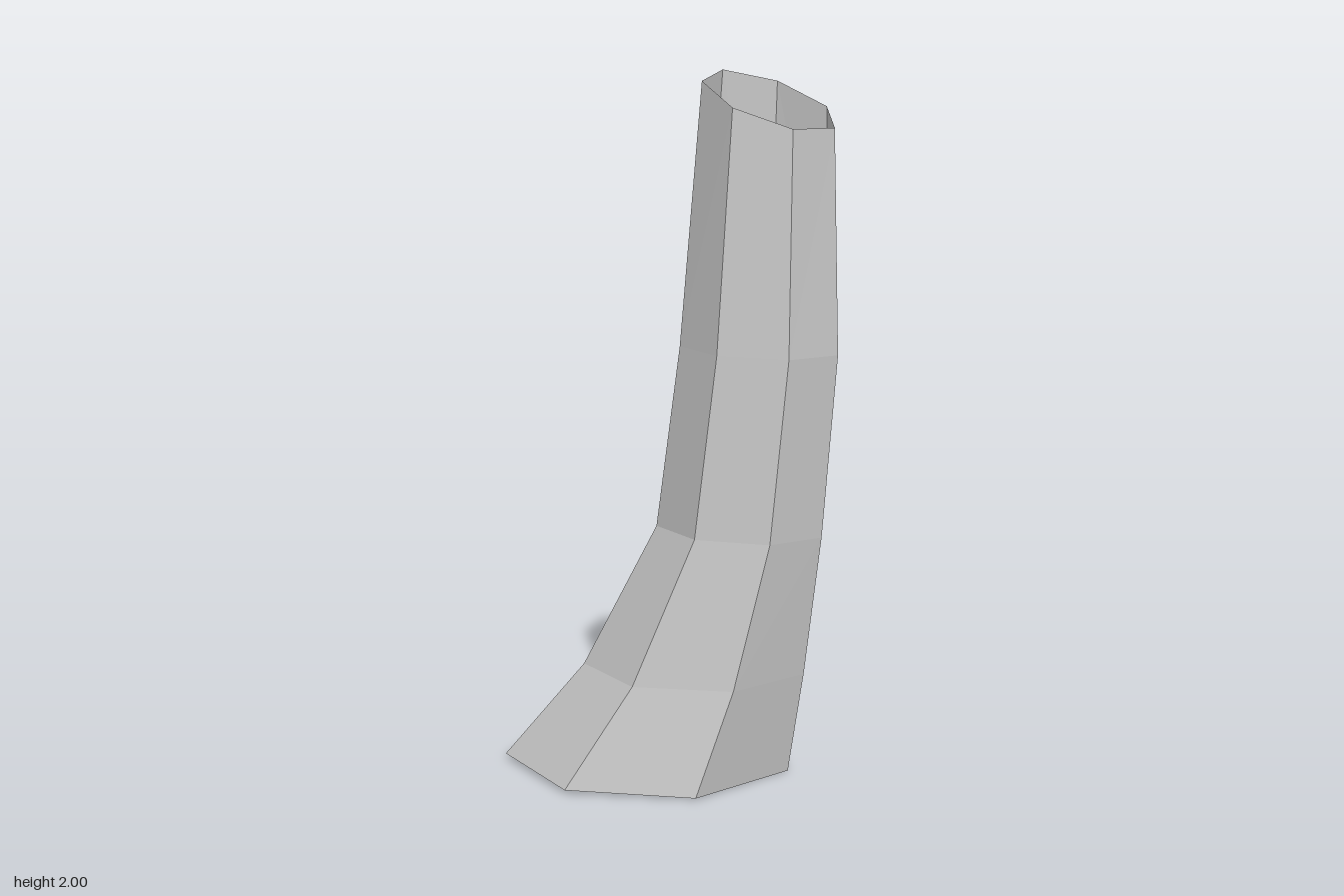
import * as THREE from 'three';

const SIDES = 7;
const TWIST = THREE.MathUtils.degToRad(5.2);

// Cross-sections from base to rim: centre, radii, and slope of the ring along x and z
const rings = [
  { x: -0.086, y: 0.008, z: 0.007, rx: 0.427, rz: 0.427, sx: -0.018, sz: 0 },
  { x: 0.061, y: 0.3, z: 0.031, rx: 0.327, rz: 0.329, sx: -0.01, sz: 0.01 },
  { x: 0.199, y: 0.712, z: 0.059, rx: 0.241, rz: 0.242, sx: -0.04, sz: 0.03 },
  { x: 0.255, y: 1.232, z: 0.066, rx: 0.227, rz: 0.227, sx: -0.04, sz: 0 },
  { x: 0.28, y: 1.922, z: 0.075, rx: 0.187, rz: 0.2, sx: -0.38, sz: -0.21 },
];

// Open tube joining the tilted polygon rings
function tubeFromRings(sections) {
  const positions = [];
  const index = [];
  sections.forEach((r, j) => {
    for (let i = 0; i < SIDES; i++) {
      const angle = TWIST + (i / SIDES) * Math.PI * 2;
      const dx = r.rx * Math.cos(angle);
      const dz = r.rz * Math.sin(angle);
      positions.push(r.x + dx, r.y + r.sx * dx + r.sz * dz, r.z + dz);
      if (j === 0) continue;
      const next = (i + 1) % SIDES;
      const a = (j - 1) * SIDES + i;
      const b = (j - 1) * SIDES + next;
      const c = j * SIDES + i;
      const d = j * SIDES + next;
      index.push(a, c, b, b, c, d);
    }
  });
  const geometry = new THREE.BufferGeometry();
  geometry.setAttribute('position', new THREE.Float32BufferAttribute(positions, 3));
  geometry.setIndex(index);
  geometry.computeVertexNormals();
  return geometry;
}

export function createModel() {
  const group = new THREE.Group();
  group.name = 'hollowTrunk';

  // Curved, flaring trunk, open at both ends
  const material = new THREE.MeshStandardMaterial({
    color: 0xcccccc,
    flatShading: true,
    side: THREE.DoubleSide,
  });
  const trunk = new THREE.Mesh(tubeFromRings(rings), material);
  trunk.name = 'trunkShell';
  group.add(trunk);
  return group;
}
